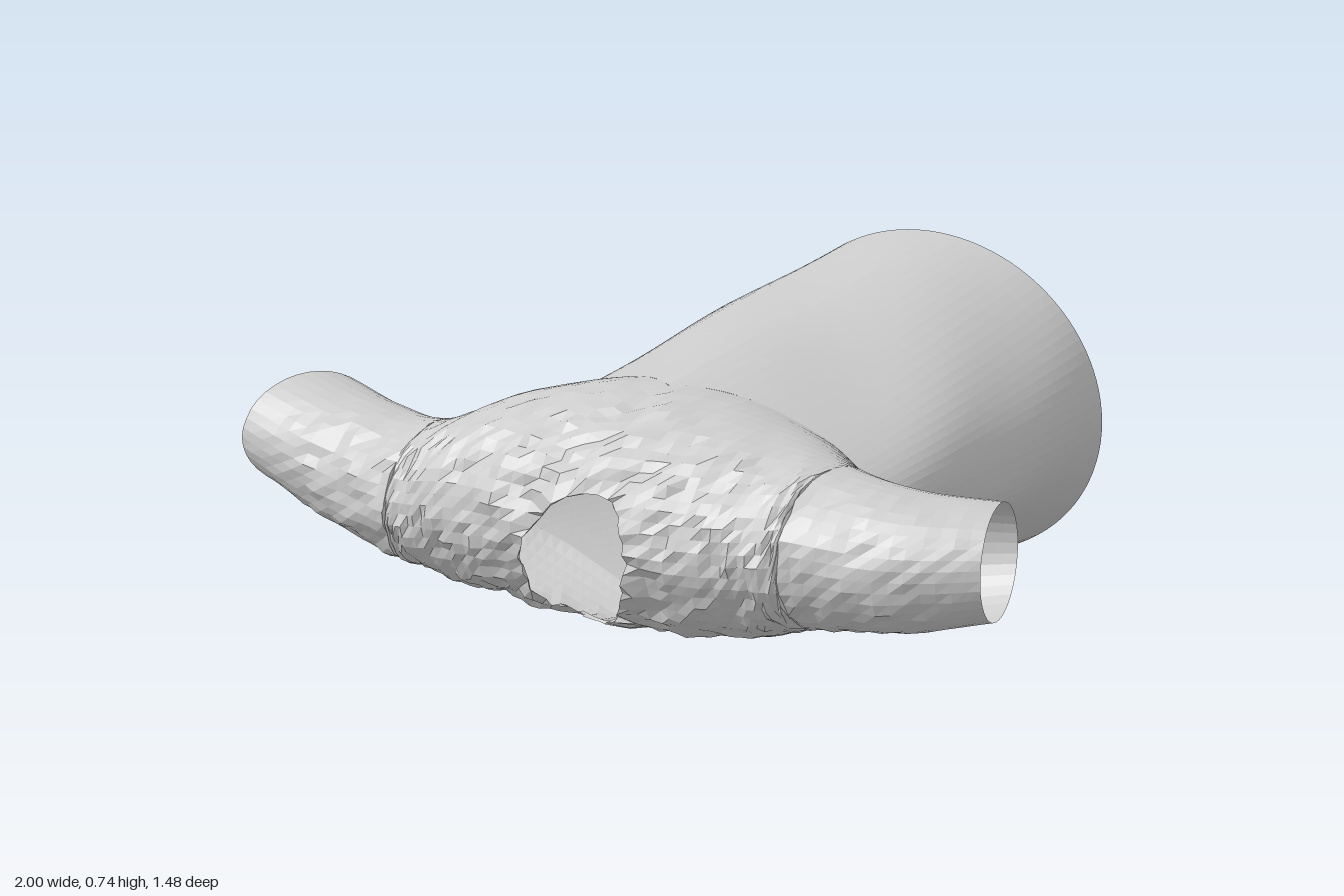
import * as THREE from 'three';

const ARMPIT = 0.54; // |x| where the body ends and the sleeves begin
const material = new THREE.MeshStandardMaterial({ color: 0xcccccc, flatShading: true, side: THREE.DoubleSide });

// Cross-sections of sleeves and shoulders along x: centre y, radius y, centre z, radius z
const sectionX = [-0.94, -0.75, -0.54, -0.35, 0, 0.35, 0.54, 0.75, 0.935];
const sectionData = [
  0.405, 0.125, 0.43, 0.16,
  0.355, 0.145, 0.455, 0.168,
  0.335, 0.165, 0.475, 0.2,
  0.358, 0.225, 0.40, 0.30,
  0.375, 0.272, 0.33, 0.40,
  0.375, 0.228, 0.39, 0.30,
  0.39, 0.185, 0.435, 0.207,
  0.39, 0.16, 0.412, 0.178,
  0.405, 0.135, 0.335, 0.145,
];
const spline = new THREE.CubicInterpolant(sectionX, sectionData, 4);
function section(x) {
  const [cy, ry, cz, rz] = spline.evaluate(x);
  return { cy, ry, cz, rz };
}

// Share of the section height left open towards the body (0 on the sleeves)
const opening = (x) => Math.pow(Math.max(0, 1 - (x / ARMPIT) ** 2), 0.4);

// Repeatable value in -1..1 for the crumpled cloth
function hash(a, b) {
  const s = Math.sin(Math.round(a * 1000) * 12.9898 + Math.round(b * 1000) * 78.233) * 43758.5453;
  return 2 * (s - Math.floor(s)) - 1;
}

// Surface from a rule point(i, j), with an optional test for dropping cells
function surface(name, nu, nv, point, keep = () => true) {
  const pos = [], index = [];
  for (let j = 0; j <= nv; j++)
    for (let i = 0; i <= nu; i++) pos.push(...point(i, j).toArray());
  for (let j = 0; j < nv; j++)
    for (let i = 0; i < nu; i++) {
      const a = j * (nu + 1) + i, b = a + 1, c = a + nu + 1, d = c + 1;
      for (const tri of [[a, b, d], [a, d, c]]) {
        const x = tri.reduce((s, k) => s + pos[k * 3] / 3, 0);
        const y = tri.reduce((s, k) => s + pos[k * 3 + 1] / 3, 0);
        const z = tri.reduce((s, k) => s + pos[k * 3 + 2] / 3, 0);
        if (keep(x, y, z)) index.push(...tri);
      }
    }
  const geometry = new THREE.BufferGeometry();
  geometry.setAttribute('position', new THREE.Float32BufferAttribute(pos, 3));
  geometry.setIndex(index);
  geometry.computeVertexNormals();
  const mesh = new THREE.Mesh(geometry, material);
  mesh.name = name;
  return mesh;
}

// Neck opening: a leaning ellipse, below 1 inside
const neck = { x: 0.02, y: 0.32, rx: 0.14, ry: 0.17, lean: 0.25 };
const neckRadius = (x, y) => {
  const dy = y - neck.y;
  return Math.hypot((x - neck.x - neck.lean * dy) / neck.rx, dy / neck.ry);
};

// Point on the shoulders and sleeves; t runs 0..1 from lower back round the front to upper back
function upperPoint(x, t) {
  const f = opening(x);
  let s = section(x);
  const a0 = Math.PI - Math.asin(Math.min(1, f));
  let a = (2 * t - 1) * a0;
  let y = s.cy + s.ry * Math.sin(a);
  // Pull vertices near the neck edge onto it
  const r = neckRadius(x, y);
  if (Math.cos(a) > 0 && r > 0.84 && r < 1.16) {
    const dy = (y - neck.y) / r;
    x = neck.x + (x - neck.x - neck.lean * (y - neck.y)) / r + neck.lean * dy;
    y = neck.y + dy;
    s = section(x);
    a = Math.asin(THREE.MathUtils.clamp((y - s.cy) / s.ry, -1, 1));
  }
  // Crumples on the front, strongest beside the neck and along the sleeves
  const front = THREE.MathUtils.smoothstep(Math.cos(a), -0.3, 0.7);
  const cuff = THREE.MathUtils.smoothstep(Math.abs(x), ARMPIT, 0.94);
  const amount = front * (1 - 0.8 * cuff ** 3);
  const k = 1 + amount * (0.028 * hash(x, a) + 0.02 * Math.sin(31 * x + 2 * Math.sin(4 * a)));
  const z = s.rz * Math.cos(a) * k;
  // Cuffs slant outwards at the front
  return new THREE.Vector3(x + Math.sign(x) * 0.4 * cuff * z, s.cy + s.ry * Math.sin(a) * k, s.cz + z);
}

// Point on the body tube; angle goes round, v runs 0 at the hem to 1 at the shoulders
function bodyPoint(angle, v) {
  const c = Math.cos(angle), up = Math.sin(angle) < 0 ? -1 : 1;
  const x = ARMPIT * c, s = section(x), f = opening(x);
  const seam = new THREE.Vector3(x, s.cy + up * s.ry * f, s.cz - s.rz * Math.sqrt(Math.max(0, 1 - f * f)));
  const hemX = -0.04 + 0.44 * c;
  const hem = new THREE.Vector3(hemX, 0.378 + 0.368 * Math.sin(angle), -0.722 - 0.05 * hemX);
  const p = hem.lerp(seam, v);
  // Soft folds fading out at both ends
  const fold = Math.sin(Math.PI * v) * 0.006 * Math.sin(5 * angle + 7 * v);
  p.x += c * (fold + 0.012 * Math.sin(Math.PI * v));
  p.y += Math.sin(angle) * fold;
  return p;
}

export function createModel() {
  const group = new THREE.Group();
  group.name = 'garment';

  // Body tube, open at the hem
  const around = 96, along = 28;
  group.add(surface('body', around, along, (i, j) => bodyPoint((i / around) * Math.PI * 2, j / along)));

  // Shoulders and chest with the neck opening
  const columns = around / 2, rows = 36;
  group.add(surface('shoulders', columns, rows,
    (i, j) => upperPoint(-ARMPIT * Math.cos((Math.PI * i) / columns), j / rows),
    (x, y, z) => z < 0.45 || neckRadius(x, y) > 0.98));

  // Sleeves, open at the cuffs
  const steps = 14;
  const sleeve = (name, from, to) => group.add(surface(name, steps, rows,
    (i, j) => upperPoint(from + ((to - from) * i) / steps, j / rows)));
  sleeve('rightSleeve', sectionX[0], -ARMPIT);
  sleeve('leftSleeve', ARMPIT, sectionX[8]);
  return group;
}
